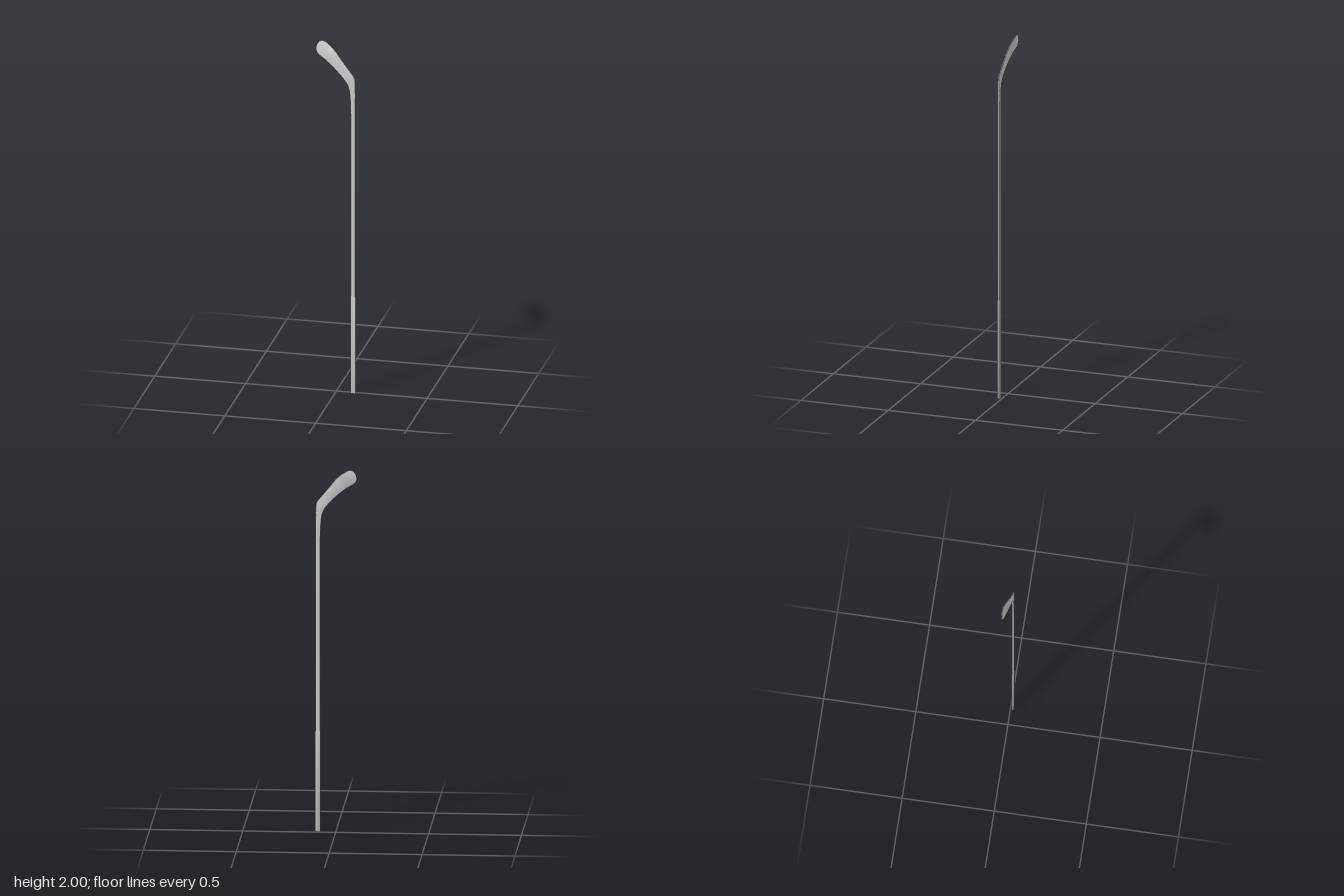
import * as THREE from 'three';
import { toCreasedNormals } from 'three/addons/utils/BufferGeometryUtils.js';

const material = new THREE.MeshStandardMaterial({ color: 0xcccccc });

// Rounded-rectangle ring spanning from edge point a to edge point b, thickness t along z
function ring(a, b, t) {
  const c = a.clone().add(b).multiplyScalar(0.5);
  const half = b.clone().sub(a).multiplyScalar(0.5);
  const h = half.length();
  const u = half.normalize();
  const r = Math.min(0.35 * t, 0.8 * h);
  const pts = [];
  [[1, 1], [-1, 1], [-1, -1], [1, -1]].forEach(([sx, sz], q) => {
    for (let k = 0; k <= 3; k++) {
      const ang = (q + k / 3) * Math.PI / 2;
      const p = c.clone().addScaledVector(u, sx * (h - r) + r * Math.cos(ang));
      p.z += sz * (t / 2 - r) + r * Math.sin(ang);
      pts.push(p);
    }
  });
  return pts;
}

// Skin a list of rings and close both ends
function loft(name, rings) {
  const n = rings[0].length, pos = [], index = [];
  rings.forEach(r => r.forEach(p => pos.push(p.x, p.y, p.z)));
  for (let i = 0; i < rings.length - 1; i++) {
    for (let j = 0; j < n; j++) {
      const k = (j + 1) % n;
      const a = i * n + j, b = a + n, c = i * n + k, d = c + n;
      index.push(a, b, c, b, d, c);
    }
  }
  const last = (rings.length - 1) * n;
  for (let j = 1; j < n - 1; j++) {
    index.push(0, j, j + 1, last, last + j + 1, last + j);
  }
  const geo = new THREE.BufferGeometry();
  geo.setAttribute('position', new THREE.Float32BufferAttribute(pos, 3));
  geo.setIndex(index);
  const mesh = new THREE.Mesh(toCreasedNormals(geo, 0.7), material);
  mesh.name = name;
  return mesh;
}

// Straight section: [y, left edge x, right edge x, thickness]
const straight = rows => rows.map(([y, x0, x1, t]) =>
  ring(new THREE.Vector3(x0, y, 0.0145), new THREE.Vector3(x1, y, 0.0145), t));

export function createModel() {
  const group = new THREE.Group();
  group.name = 'stick';

  // Slightly thicker grip with a bevelled butt end
  group.add(loft('grip', straight([
    [0, 0.084, 0.110, 0.011],
    [0.004, 0.082, 0.112, 0.014],
    [0.55, 0.082, 0.112, 0.014],
    [0.56, 0.083, 0.109, 0.013],
  ])));

  // Shaft
  group.add(loft('shaft', straight([
    [0.555, 0.083, 0.109, 0.013],
    [1.5, 0.083, 0.109, 0.013],
  ])));

  // Blade: inner edge xyz, outer edge xyz, thickness
  const stations = [
    [0.083, 1.50, 0.0145, 0.109, 1.50, 0.0145, 0.013],
    [0.083, 1.60, 0.0145, 0.109, 1.60, 0.0145, 0.013],
    [0.079, 1.70, 0.0145, 0.109, 1.72, 0.0145, 0.012],
    [0.070, 1.757, 0.015, 0.108, 1.79, 0.0145, 0.009],
    [0.050, 1.792, 0.014, 0.102, 1.816, 0.015, 0.007],
    [0.020, 1.826, 0.011, 0.080, 1.845, 0.0125, 0.006],
    [-0.020, 1.865, 0.005, 0.040, 1.894, 0.007, 0.006],
    [-0.060, 1.897, -0.001, 0.000, 1.945, -0.001, 0.006],
    [-0.092, 1.917, -0.008, -0.033, 1.975, -0.011, 0.006],
    [-0.109, 1.932, -0.013, -0.057, 1.992, -0.017, 0.006],
    [-0.115, 1.945, -0.015, -0.073, 1.999, -0.019, 0.005],
    [-0.116, 1.957, -0.017, -0.086, 2.000, -0.020, 0.005],
    [-0.113, 1.971, -0.018, -0.099, 1.994, -0.020, 0.004],
  ];
  const curve = f => new THREE.CatmullRomCurve3(
    stations.map(s => new THREE.Vector3(...f(s))), false, 'catmullrom', 0.5);
  const inner = curve(s => s.slice(0, 3));
  const outer = curve(s => s.slice(3, 6));
  const thick = curve(s => [s[6], 0, 0]);
  const steps = (stations.length - 1) * 4;
  const rings = [];
  for (let i = 0; i <= steps; i++) {
    const t = i / steps;
    rings.push(ring(inner.getPoint(t), outer.getPoint(t), thick.getPoint(t).x));
  }
  group.add(loft('blade', rings));

  return group;
}
